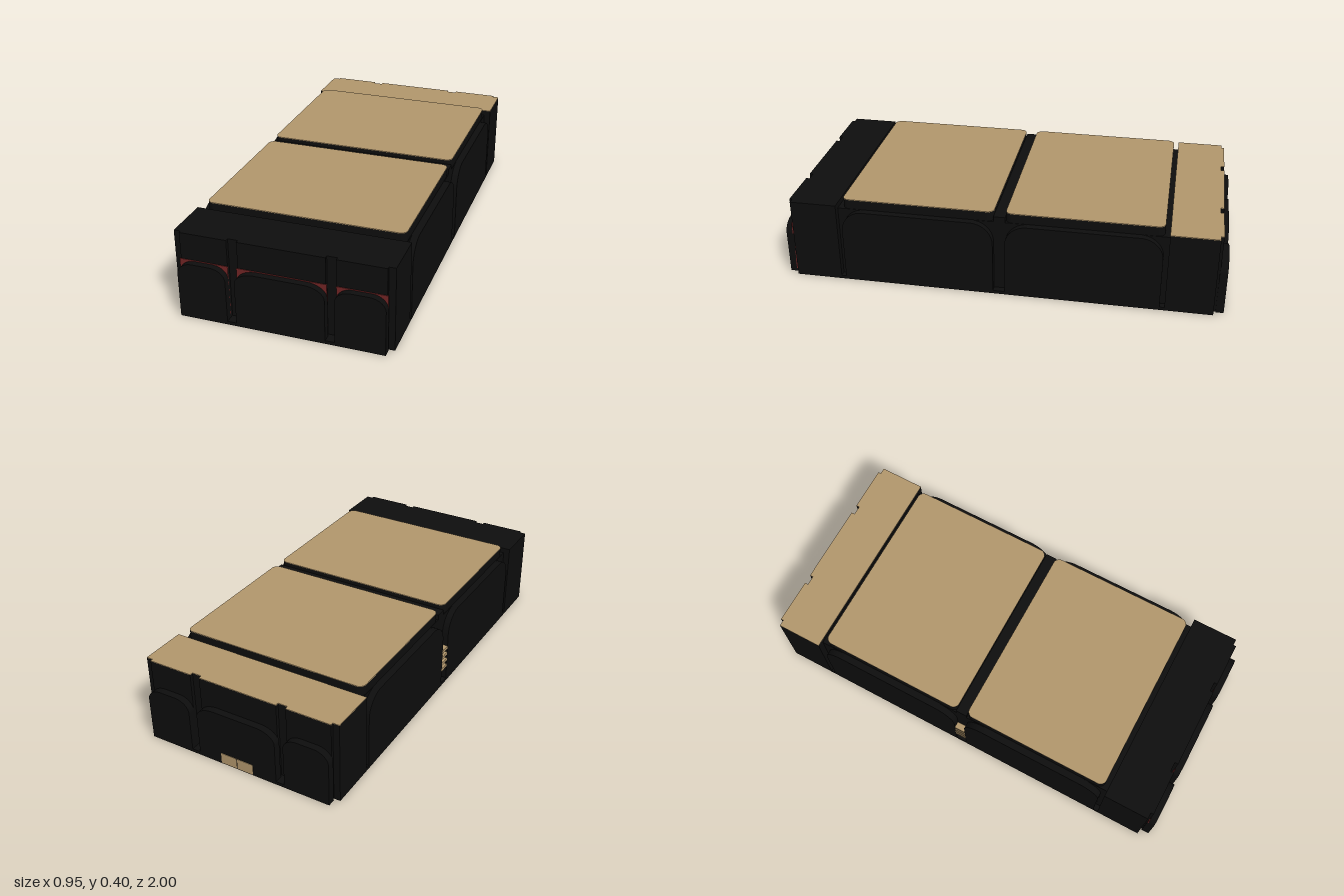
import * as THREE from 'three';

const mat = (name, color) => new THREE.MeshStandardMaterial({ name, color });

export function createModel() {
  const black = mat('black', 0x0d0d0d);
  const tan = mat('tan', 0xb0956b);
  const red = mat('red', 0x702424);
  const group = new THREE.Group();

  const add = (name, geometry, material) => {
    const mesh = new THREE.Mesh(geometry, material);
    mesh.name = name;
    group.add(mesh);
    return mesh;
  };
  // Box from its minimum and maximum corners
  const box = (name, material, x0, x1, y0, y1, z0, z1) => {
    const g = new THREE.BoxGeometry(x1 - x0, y1 - y0, z1 - z0);
    g.translate((x0 + x1) / 2, (y0 + y1) / 2, (z0 + z1) / 2);
    return add(name, g, material);
  };
  // Ground-plan shape (x, z) raised between two heights
  const prism = (name, material, shape, y0, y1) => {
    const g = new THREE.ExtrudeGeometry(shape, { depth: y1 - y0, bevelEnabled: false });
    g.rotateX(-Math.PI / 2).translate(0, y0, 0);
    return add(name, g, material);
  };
  // Upright panel with rounded upper corners
  const panelGeometry = (a, b, h, rx, ry, depth) => {
    const s = new THREE.Shape();
    s.moveTo(a, 0);
    s.lineTo(b, 0);
    s.lineTo(b, h - ry);
    s.absellipse(b - rx, h - ry, rx, ry, 0, Math.PI / 2, false);
    s.absellipse(a + rx, h - ry, rx, ry, Math.PI / 2, Math.PI, false);
    s.closePath();
    return new THREE.ExtrudeGeometry(s, { depth, bevelEnabled: false, curveSegments: 10 });
  };

  // Base and core
  box('basePlate', black, -0.475, 0.475, 0, 0.015, -0.95, 0.95);
  box('baseLip', black, -0.445, 0.445, 0, 0.015, -1, 1);
  box('core', black, -0.445, 0.445, 0, 0.355, -0.745, 0.745);
  box('middleRib', black, -0.445, 0.445, 0.355, 0.38, -0.025, 0.028);

  // Notched plan of the front end; negate z for the back end
  const endShape = (dir) => {
    const p = [[0.475, 0.742], [0.475, 0.955], [0.445, 0.955], [0.445, 0.968],
      [0.235, 0.968], [0.235, 0.952], [0.19, 0.952], [0.19, 0.968]];
    const all = [...p, ...p.slice().reverse().map(([x, z]) => [-x, z])];
    return new THREE.Shape(all.map(([x, z]) => new THREE.Vector2(x, -z * dir)));
  };
  prism('frontBlock', black, endShape(1), 0, 0.38);
  prism('backBlock', black, endShape(-1), 0, 0.378);
  prism('backTop', tan, endShape(-1), 0.378, 0.381);

  // End panels, with a coloured wall behind the front ones
  const bays = [[-0.45, -0.235], [-0.195, 0.195], [0.235, 0.45]];
  for (const [a, b] of bays) {
    box('frontBayWall', red, a, b, 0.015, 0.26, 0.966, 0.971);
    const rx = b - a > 0.3 ? 0.09 : 0.07;
    const front = panelGeometry(a, b, 0.257, rx, 0.055, 0.035);
    front.translate(0, 0, 0.965);
    add('frontPanel', front, black);
    const back = panelGeometry(a, b, 0.257, rx, 0.055, 0.035);
    back.translate(0, 0, -1);
    add('backPanel', back, black);
  }

  // Two side panels per side and two rounded roof slabs
  for (const [z0, z1] of [[0.028, 0.72], [-0.72, -0.025]]) {
    for (const side of [-1, 1]) {
      const g = panelGeometry(-z1, -z0, 0.355, 0.1, 0.1, 0.035);
      g.rotateY(Math.PI / 2).translate(side > 0 ? 0.44 : -0.475, 0, 0);
      add('sidePanel', g, black);
    }
    const s = new THREE.Shape();
    const x = 0.443, r = 0.03;
    s.moveTo(x, -z1 + r);
    s.absarc(x - r, -z0 - r, r, 0, Math.PI / 2, false);
    s.absarc(-x + r, -z0 - r, r, Math.PI / 2, Math.PI, false);
    s.absarc(-x + r, -z1 + r, r, Math.PI, Math.PI * 1.5, false);
    s.absarc(x - r, -z1 + r, r, Math.PI * 1.5, Math.PI * 2, false);
    prism('roofSlab', black, s, 0.355, 0.398);
    prism('roofTop', tan, s, 0.398, 0.401);
  }

  // Rungs in the right-hand groove
  for (let i = 0; i < 4; i++) {
    const y = 0.08 + i * 0.033;
    box('rung', tan, -0.475, -0.44, y, y + 0.015, -0.025, 0.028);
  }

  // Pair of low plates on the back
  for (const [a, b] of [[-0.08, -0.002], [0.002, 0.08]]) {
    box('backPlate', tan, a, b, 0.004, 0.055, -1.002, -0.998);
  }
  return group;
}
